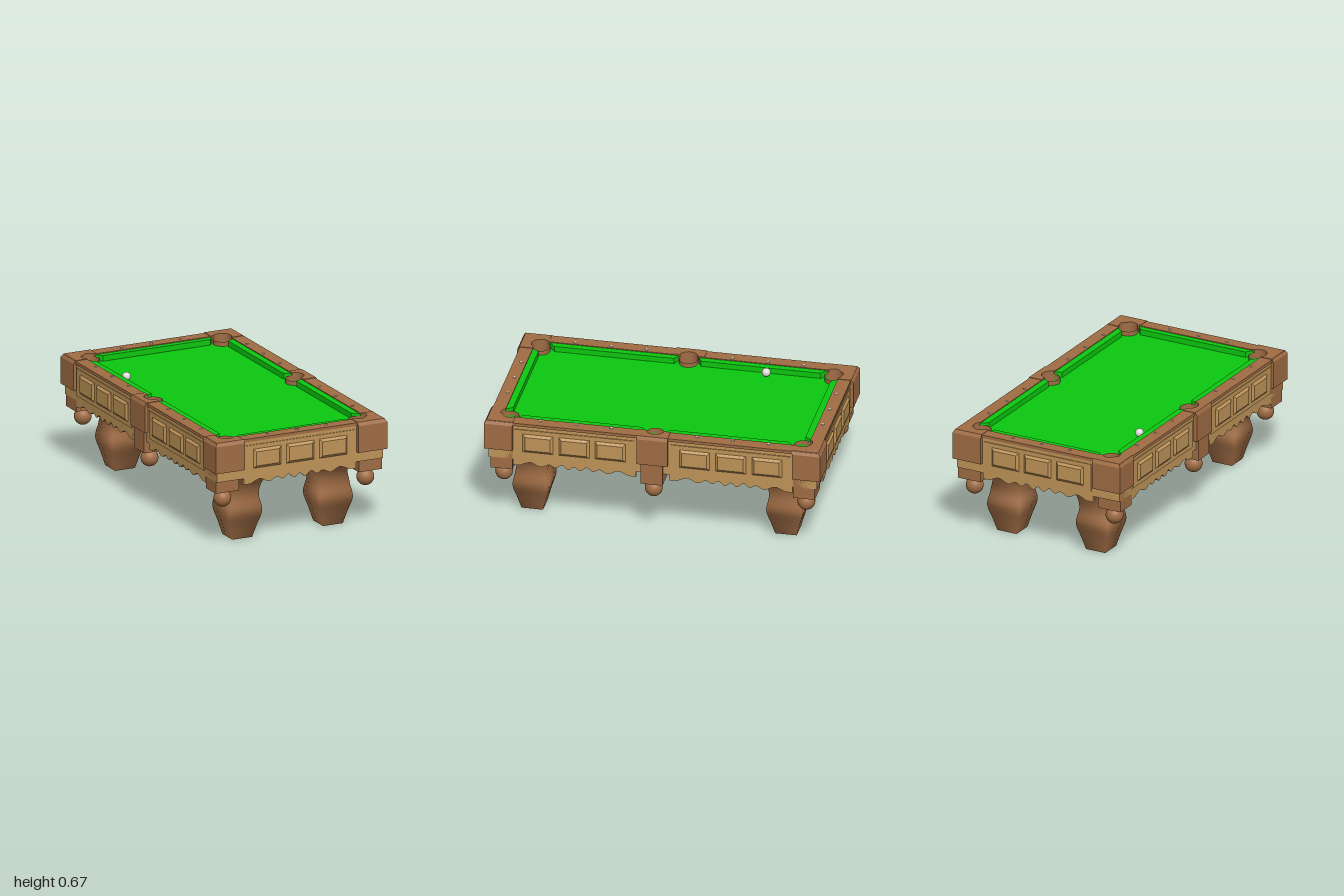
import * as THREE from 'three';

const mat = (name, color) => Object.assign(new THREE.MeshStandardMaterial({ color }), { name });
const V = (x, y) => new THREE.Vector2(x, y);

// Points of an arc, angles in degrees
function arc(cx, cy, r, a, b, n = 14) {
  return Array.from({ length: n + 1 }, (_, i) => {
    const t = THREE.MathUtils.degToRad(a + (b - a) * i / n);
    return V(cx + r * Math.cos(t), cy + r * Math.sin(t));
  });
}

// Flat plan shape (x, z) extruded downwards from a given top height
function slab(shape, top, thick, steps = 1) {
  const g = new THREE.ExtrudeGeometry(shape, { depth: thick, bevelEnabled: false, steps });
  return g.rotateX(Math.PI / 2).translate(0, top, 0);
}

// Bed-sized rectangle whose edge bulges around the pockets, or is bitten by them
const R = 0.055;
const cornerArc = out => arc(0.43, 0.87, R, -43.3, out ? 140.5 : 140.5 - 360);
function outline(out) {
  const q = [...arc(0.46, 0, R, out ? 0 : 180, 79.5, 8), ...cornerArc(out)];
  const m = (sx, sz) => q.map(p => V(p.x * sx, p.y * sz));
  return [...q, ...m(-1, 1).reverse(), ...m(-1, -1), ...m(1, -1).reverse()];
}

export function createModel() {
  const dark = mat('dark wood', 0xa06d45);
  const light = mat('light wood', 0xbf9458);
  const green = mat('green cloth', 0x0cc80f);
  const pale = mat('pale ivory', 0xe0dada);
  dark.side = THREE.DoubleSide;

  const root = new THREE.Group();
  const add = (name, geo, m, x = 0, y = 0, z = 0, parent = root) => {
    const mesh = new THREE.Mesh(geo, m);
    mesh.name = name;
    mesh.position.set(x, y, z);
    parent.add(mesh);
    return mesh;
  };
  const box = (w, h, d) => new THREE.BoxGeometry(w, h, d);

  // Playing bed and the rail frame
  add('bed', slab(new THREE.Shape(outline(false)), 0.613, 0.02), green);
  const frame = new THREE.Shape([V(-0.548, -0.982), V(0.548, -0.982), V(0.548, 0.982), V(-0.548, 0.982)]);
  frame.holes.push(new THREE.Path(outline(true)));
  add('rails', slab(frame, 0.655, 0.018), dark);

  // Cushions with angled ends
  const cushion = (name, pts) => add(name, slab(new THREE.Shape(pts), 0.65, 0.034), green);
  for (const s of [-1, 1]) {
    for (const t of [-1, 1]) {
      cushion('sideCushion', [V(0.472, 0.06), V(0.472, 0.825), V(0.43, 0.79), V(0.43, 0.08)]
        .map(p => V(p.x * s, p.y * t)));
    }
    cushion('endCushion', [V(-0.38, 0.907), V(0.38, 0.907), V(0.35, 0.867), V(-0.35, 0.867)]
      .map(p => V(p.x, p.y * s)));
  }

  // Blocks wrapped around the pockets, with the top outer edge eased
  function pocketBlock(name, pts, sx, sz, maxX, maxZ) {
    const shape = new THREE.Shape(pts.map(p => V(p.x * sx, p.y * sz)));
    const g = slab(shape, 0.658, 0.183, 9);
    const p = g.attributes.position;
    for (let i = 0; i < p.count; i++) {
      if (p.getY(i) < 0.65) continue;
      p.setX(i, THREE.MathUtils.clamp(p.getX(i), -maxX, maxX));
      p.setZ(i, THREE.MathUtils.clamp(p.getZ(i), -maxZ, maxZ));
    }
    g.computeVertexNormals();
    add(name, g, dark);
  }
  // Leather cup, bracket and ball foot under each pocket
  function pocket(x, z, fx, fz, w) {
    add('pocketCup', new THREE.CylinderGeometry(R, R, 0.12, 28, 1, true), dark, x, 0.58, z);
    add('pocketFloor', new THREE.CylinderGeometry(R, R, 0.006, 28), dark, x, 0.523, z);
    add('pocketBracket', box(w, 0.17, 0.13), dark, fx, 0.43, fz);
    add('pocketBall', new THREE.SphereGeometry(0.052, 24, 16), dark, fx, 0.293, fz);
  }
  const cornerPts = [V(0.47, 0.83), V(0.558, 0.83), V(0.558, 0.998), V(0.37, 0.998), V(0.37, 0.905),
    ...cornerArc(true).reverse()];
  const middlePts = [V(0.47, -0.092), V(0.562, -0.092), V(0.562, 0.092), V(0.47, 0.092),
    ...arc(0.46, 0, R, 79.5, -79.5)];
  for (const sx of [-1, 1]) {
    pocketBlock('middleBlock', middlePts, sx, 1, 0.552, 1);
    pocket(sx * 0.46, 0, sx * 0.487, 0.004, 0.135);
    for (const sz of [-1, 1]) {
      pocketBlock('cornerBlock', cornerPts, sx, sz, 0.545, 0.985);
      pocket(sx * 0.43, sz * 0.87, sx * 0.465, sz * 0.897, 0.15);
    }
  }

  // Apron board with scalloped lower edge, a raised field and three bevelled panels
  const half = [V(0, 0.4), V(0.035, 0.378), V(0.075, 0.404), V(0.11, 0.382), V(0.15, 0.398),
    V(0.2, 0.378), V(0.26, 0.402), V(0.32, 0.379)];
  const wave = new THREE.SplineCurve([...half.slice(1).reverse().map(p => V(-p.x, p.y)), ...half]).getPoints(70);
  function apron(name, x, z, angle, end) {
    const g = new THREE.Group();
    g.name = name;
    g.position.set(x, 0, z);
    g.rotation.y = angle;
    root.add(g);
    const shape = new THREE.Shape([V(-end, 0.64), V(-end, 0.415), V(-0.365, 0.415), V(-0.365, 0.377),
      ...wave, V(0.365, 0.377), V(0.365, 0.415), V(end, 0.415), V(end, 0.64)]);
    add('apronBoard', new THREE.ExtrudeGeometry(shape, { depth: 0.02, bevelEnabled: false }), light, 0, 0, -0.02, g);
    add('apronField', box(0.71, 0.168, 0.006), light, 0, 0.53, 0.002, g);
    for (const px of [-0.215, 0, 0.215]) {
      const hw = 0.075, hh = 0.043;
      const face = new THREE.Shape([V(-hw, -hh), V(hw, -hh), V(hw, hh), V(-hw, hh)]);
      add('raisedPanel', new THREE.ExtrudeGeometry(face, {
        depth: 0.001, bevelSize: 0.015, bevelThickness: 0.012, bevelSegments: 1,
      }), light, px, 0.53, 0.004, g);
    }
  }
  apron('frontApron', 0, 0.975, 0, 0.54);
  apron('backApron', 0, -0.975, Math.PI, 0.54);
  for (const s of [-1, 1]) {
    for (const z of [-0.465, 0.465]) apron('sideApron', s * 0.54, z, s * Math.PI / 2, 0.51);
  }

  // Square vase-shaped legs, smooth shaded, flaring inwards at the top
  const profile = new THREE.SplineCurve([V(0.064, 0), V(0.085, 0.08), V(0.108, 0.17), V(0.093, 0.26),
    V(0.1, 0.33), V(0.135, 0.405)]).getPoints(20).map(p => V(p.x * Math.SQRT2, p.y));
  for (const sx of [-1, 1]) {
    for (const sz of [-1, 1]) {
      const g = new THREE.LatheGeometry([...profile, V(0, 0.41)], 4, Math.PI / 4);
      const p = g.attributes.position;
      for (let i = 0; i < p.count; i++) {
        const shift = Math.max(0, p.getY(i) - 0.27) * 0.25;
        p.setX(i, p.getX(i) - sx * shift);
        p.setZ(i, p.getZ(i) - sz * shift);
      }
      const x = sx * 0.295, z = sz * 0.753;
      add('leg', g, dark, x, 0, z);
      add('legBase', box(0.128, 0.004, 0.128), dark, x, 0.002, z);
      add('legBlock', box(0.18, 0.19, 0.18), dark, x - sx * 0.03, 0.499, z - sz * 0.03);
    }
  }

  // Sight markers along the rails
  const sight = new THREE.CylinderGeometry(0.01, 0.01, 0.006, 4);
  for (const s of [-1, 1]) {
    for (const z of [0.255, 0.465, 0.678]) {
      for (const t of [-1, 1]) add('sight', sight, pale, s * 0.492, 0.656, z * t);
    }
    for (const x of [-0.19, 0, 0.19]) add('sight', sight, pale, x, 0.656, s * 0.935);
  }

  // Cue ball
  add('cueBall', new THREE.SphereGeometry(0.026, 24, 16), pale, -0.395, 0.64, -0.475);
  return root;
}
